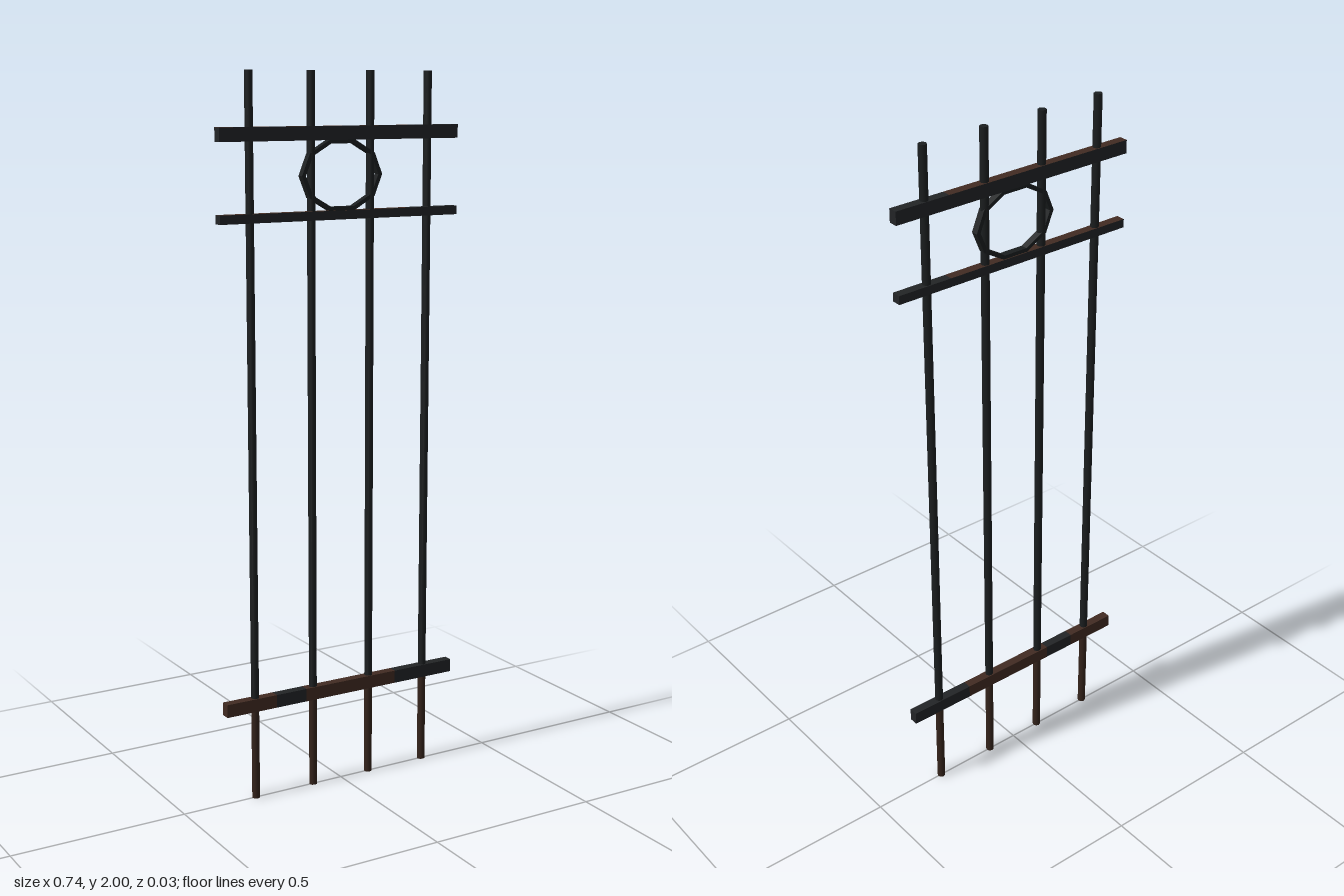
import * as THREE from 'three';

const mat = (name, color) => {
  const m = new THREE.MeshStandardMaterial({ color });
  m.name = name;
  return m;
};

export function createModel() {
  const group = new THREE.Group();
  const iron = mat('dark iron', 0x222426);
  const barIron = mat('bar iron', 0x1b1e1f);
  const rust = mat('rust', 0x412b22);
  const barRust = mat('bar rust', 0x34231b);

  const add = (name, geometry, material, x, y, z = 0) => {
    const mesh = new THREE.Mesh(geometry, material);
    mesh.name = name;
    mesh.position.set(x, y, z);
    group.add(mesh);
  };

  // Upright bars, rusty below the bottom rail
  const bar = (name, x, y0, y1, material) =>
    add(name, new THREE.CylinderGeometry(0.0115, 0.0115, y1 - y0, 8), material, x, (y0 + y1) / 2);
  for (const x of [-0.277, -0.092, 0.092, 0.277]) {
    bar('barFoot', x, 0, 0.27, barRust);
    bar('bar', x, 0.27, 2, barIron);
  }

  // Cross rails, built from lengths of different colour
  const rail = (name, y0, y1, pieces) => {
    for (const [x0, x1, material] of pieces) {
      add(name, new THREE.BoxGeometry(x1 - x0, y1 - y0, 0.026), material, (x0 + x1) / 2, (y0 + y1) / 2);
    }
  };
  // Iron sides with a rusty upper face
  const rustyTop = [iron, iron, rust, iron, iron, iron];
  const upper = [[-0.37, 0.21, rustyTop], [0.21, 0.37, iron]];
  rail('topRail', 1.818, 1.855, upper);
  rail('middleRail', 1.607, 1.631, upper);
  rail('bottomRail', 0.258, 0.295, [
    [-0.37, -0.215, rust],
    [-0.215, -0.12, iron],
    [-0.12, 0.175, rust],
    [0.175, 0.37, iron],
  ]);

  // Ten-sided oval ring between the upper rails
  const oval = (rx, ry) =>
    Array.from({ length: 10 }, (_, i) => {
      const a = (i * Math.PI) / 5;
      return new THREE.Vector2(rx * Math.cos(a), ry * Math.sin(a));
    });
  const ring = new THREE.Shape(oval(0.125, 0.099));
  ring.holes.push(new THREE.Path(oval(0.113, 0.088)));
  add('ring', new THREE.ExtrudeGeometry(ring, { depth: 0.02, bevelEnabled: false }), barIron, 0, 1.725, -0.01);

  return group;
}
